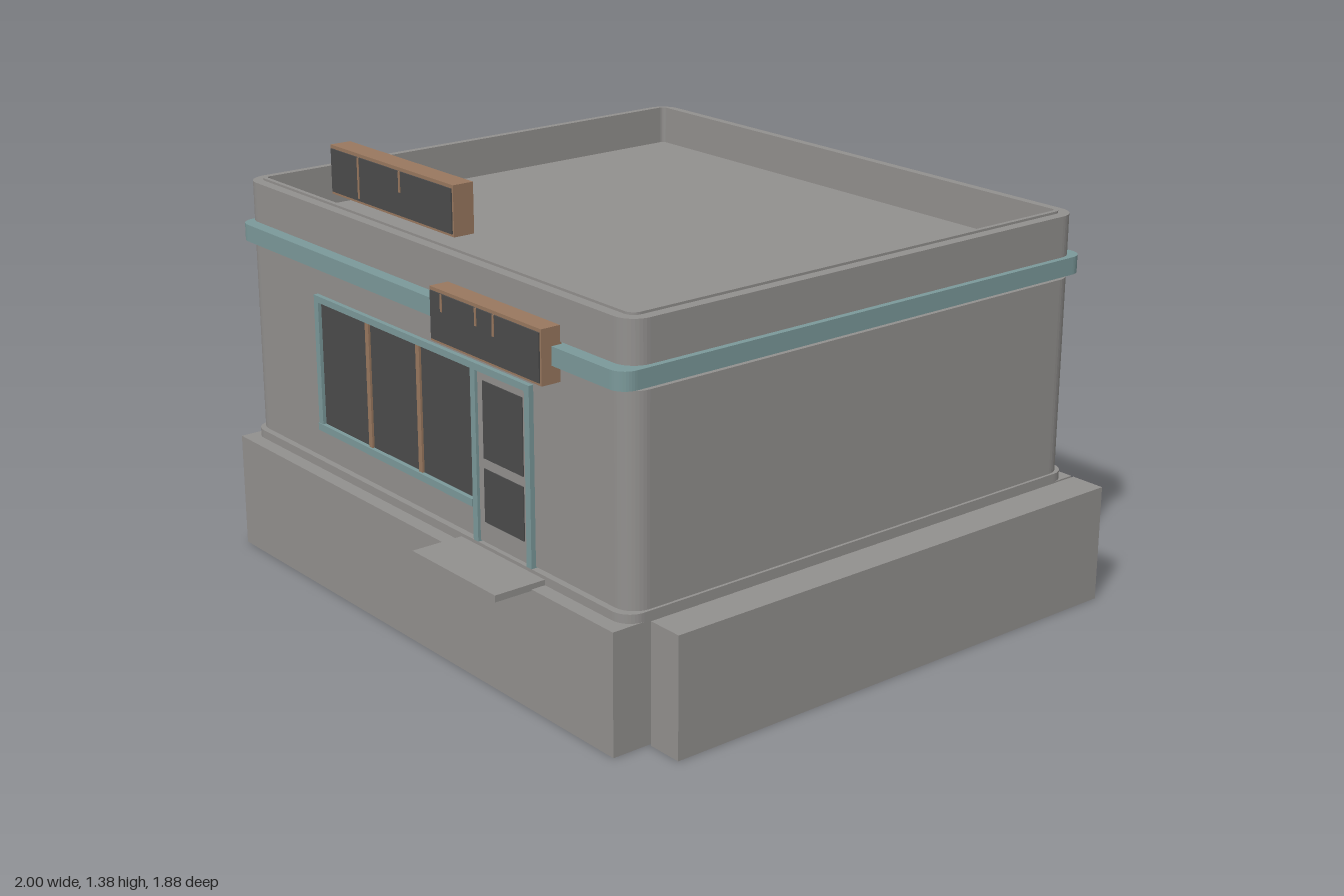
import * as THREE from 'three';

const mat = (name, color) => new THREE.MeshStandardMaterial({ name, color });

export function createModel() {
  const model = new THREE.Group();
  model.name = 'shopBuilding';
  const grey = mat('concreteGrey', 0x92908e);
  const teal = mat('trimTeal', 0x7b999a);
  const brown = mat('signBrown', 0x99785f);
  const dark = mat('glassDark', 0x4b4b4b);

  const add = (name, geometry, material, parent = model) => {
    const mesh = new THREE.Mesh(geometry, material);
    mesh.name = name;
    parent.add(mesh);
    return mesh;
  };

  // Box given by its minimum and maximum on each axis
  const box = (name, x0, x1, y0, y1, z0, z1, material, parent) => {
    const g = new THREE.BoxGeometry(x1 - x0, y1 - y0, z1 - z0);
    g.translate((x0 + x1) / 2, (y0 + y1) / 2, (z0 + z1) / 2);
    return add(name, g, material, parent);
  };

  // Rounded rectangle on the plan, drawn with z flipped for the extrusion
  const plan = (Type, x0, x1, z0, z1, r) => {
    const p = new Type();
    const a = -z1, b = -z0;
    p.moveTo(x0 + r, a);
    p.lineTo(x1 - r, a);
    p.absarc(x1 - r, a + r, r, -Math.PI / 2, 0);
    p.lineTo(x1, b - r);
    p.absarc(x1 - r, b - r, r, 0, Math.PI / 2);
    p.lineTo(x0 + r, b);
    p.absarc(x0 + r, b - r, r, Math.PI / 2, Math.PI);
    p.lineTo(x0, a + r);
    p.absarc(x0 + r, a + r, r, Math.PI, Math.PI * 1.5);
    return p;
  };

  // Hollow wall ring between two heights
  const ring = (name, [x0, x1, z0, z1], r, t, y0, y1, material) => {
    const shape = plan(THREE.Shape, x0, x1, z0, z1, r);
    shape.holes.push(plan(THREE.Path, x0 + t, x1 - t, z0 + t, z1 - t, 0.015));
    const g = new THREE.ExtrudeGeometry(shape, { depth: y1 - y0, bevelEnabled: false, curveSegments: 5 });
    g.rotateX(-Math.PI / 2);
    g.translate(0, y0, 0);
    return add(name, g, material);
  };

  // Foundation, side slab and entrance step
  box('foundation', -1, 0.88, 0, 0.36, -0.94, 0.82, grey);
  box('sideSlab', 0.888, 1, 0, 0.36, -0.94, 0.7, grey);
  box('entranceStep', 0.14, 0.53, 0.356, 0.376, 0.74, 0.94, grey);

  // Walls, skirting, band and parapet
  const walls = [-0.998, 0.878, -0.905, 0.76];
  ring('skirting', [-1, 0.88, -0.92, 0.775], 0.06, 0.06, 0.36, 0.386, grey);
  ring('walls', walls, 0.065, 0.046, 0.39, 0.993, grey);
  ring('trimBand', [-1, 0.88, -0.94, 0.788], 0.05, 0.08, 1.0, 1.053, teal);
  ring('parapet', walls, 0.065, 0.046, 1.06, 1.183, grey);
  ring('parapetLip', [-0.965, 0.845, -0.872, 0.727], 0.03, 0.014, 1.183, 1.19, grey);
  box('roof', -0.96, 0.84, 1.06, 1.068, -0.87, 0.725, grey);

  // Shop window
  const shopWindow = new THREE.Group();
  shopWindow.name = 'shopWindow';
  model.add(shopWindow);
  box('windowGlass', -0.58, 0.2, 0.5, 0.9, 0.755, 0.764, dark, shopWindow);
  box('windowSill', -0.6, 0.2, 0.485, 0.507, 0.75, 0.778, teal, shopWindow);
  box('frameHeader', -0.6, 0.47, 0.89, 0.91, 0.75, 0.775, teal, shopWindow);
  box('windowJamb', -0.6, -0.578, 0.507, 0.89, 0.75, 0.775, teal, shopWindow);
  for (const x of [-0.322, -0.062])
    box('mullion', x - 0.009, x + 0.009, 0.507, 0.89, 0.755, 0.771, brown, shopWindow);

  // Front door
  const frontDoor = new THREE.Group();
  frontDoor.name = 'frontDoor';
  model.add(frontDoor);
  for (const x of [0.2, 0.448])
    box('doorJamb', x, x + 0.022, 0.386, 0.89, 0.75, 0.775, teal, frontDoor);
  box('doorPanel', 0.222, 0.448, 0.39, 0.89, 0.75, 0.766, grey, frontDoor);
  box('upperPane', 0.248, 0.43, 0.64, 0.865, 0.763, 0.769, dark, frontDoor);
  box('lowerPane', 0.248, 0.43, 0.452, 0.61, 0.763, 0.769, dark, frontDoor);

  // Sign boxes with dark faces and small divider notches
  const sign = (name, x0, x1, y0, y1, z0, z1, notches) => {
    const group = new THREE.Group();
    group.name = name;
    model.add(group);
    box('signCase', x0, x1, y0, y1, z0, z1 - 0.004, brown, group);
    box('signFace', x0 + 0.006, x1 - 0.006, y0 + 0.008, y1 - 0.01, z1 - 0.006, z1, dark, group);
    for (const [x, drop] of notches)
      box('signNotch', x - 0.004, x + 0.004, y1 - drop, y1 - 0.01, z1 - 0.003, z1 + 0.002, brown, group);
  };
  sign('roofSign', -0.5, 0.115, 1.235, 1.38, 0.69, 0.76, [[-0.35, 0.13], [-0.14, 0.07]]);
  sign('entranceSign', 0.085, 0.59, 0.95, 1.105, 0.755, 0.825, [[0.145, 0.06], [0.305, 0.06], [0.385, 0.07]]);

  // Rear door, lamps and hatch
  const rear = new THREE.Group();
  rear.name = 'rearDetails';
  model.add(rear);
  for (const x of [-0.735, -0.487])
    box('rearDoorJamb', x, x + 0.012, 0.39, 0.875, -0.914, -0.9, grey, rear);
  box('rearDoorHeader', -0.735, -0.475, 0.863, 0.875, -0.914, -0.9, grey, rear);
  box('rearDoorPanel', -0.723, -0.487, 0.39, 0.863, -0.908, -0.9, grey, rear);
  box('rearLamp', -0.635, -0.575, 0.92, 0.955, -0.942, -0.9, grey, rear);
  box('rearCamera', -0.9, -0.855, 0.935, 0.965, -0.942, -0.9, grey, rear);
  box('rearHatch', 0.6, 0.72, 0.82, 0.91, -0.909, -0.9, grey, rear);

  return model;
}
